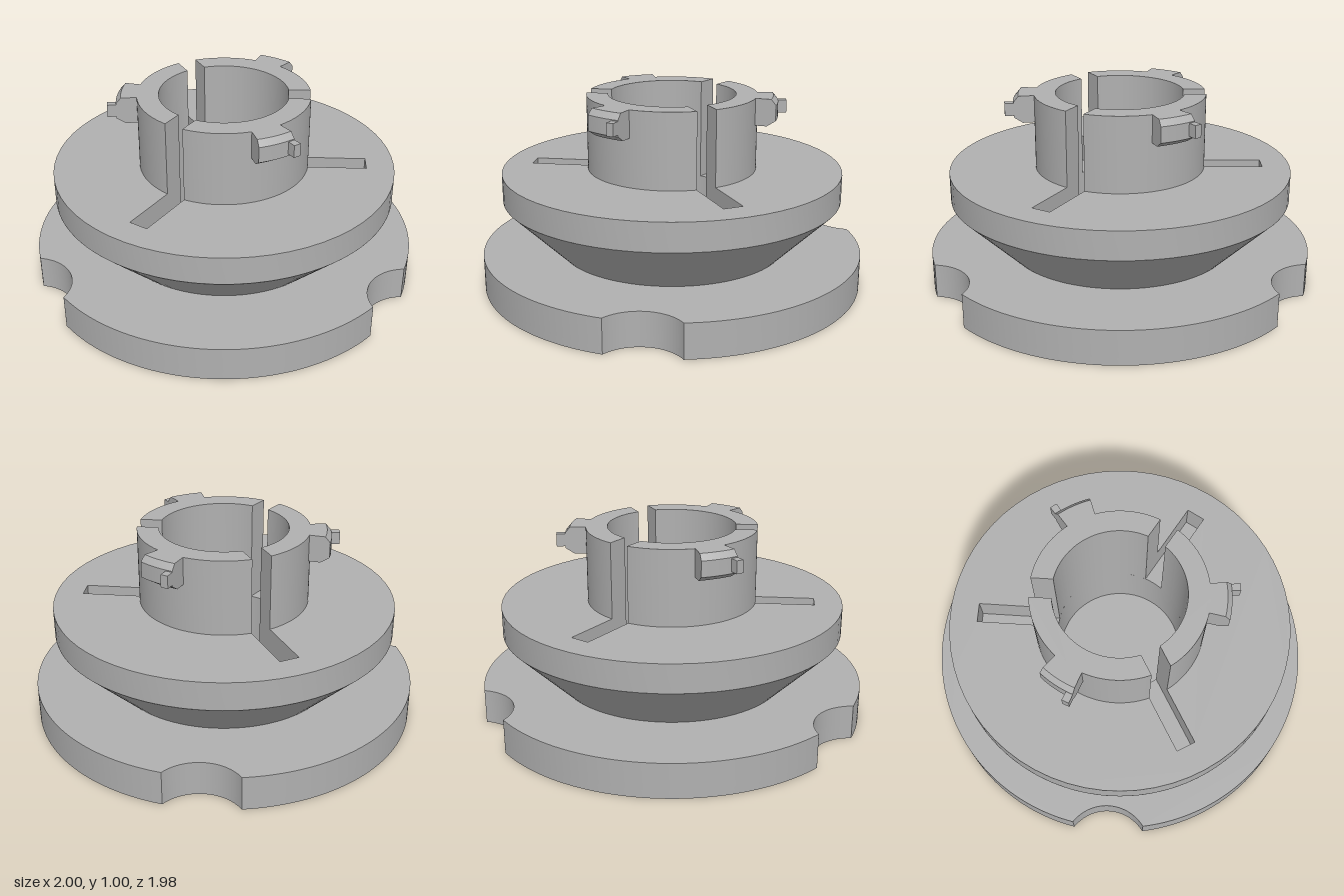
import * as THREE from 'three';
import { toCreasedNormals } from 'three/addons/utils/BufferGeometryUtils.js';

const rad = THREE.MathUtils.degToRad;
const BORE = 0.33, TUBE = 0.44, RIM = 0.885, SLOT = 0.05, SLOT_END = 0.74;

// Upright slab from a plan outline (shape x, y become world x, z)
function slab(shape, bottom, top) {
  const g = new THREE.ExtrudeGeometry(shape, { depth: top - bottom, bevelEnabled: false, curveSegments: 32 });
  g.rotateX(Math.PI / 2).translate(0, top, 0);
  return toCreasedNormals(g, 0.5);
}

// Sweep a convex counter-clockwise [radius, height] profile through an arc, with end caps
function sector(profile, a0, a1, steps) {
  const pos = [];
  const point = ([r, y], a) => [r * Math.cos(a), y, r * Math.sin(a)];
  const tri = (a, b, c) => pos.push(...a, ...b, ...c);
  const n = profile.length;
  for (let i = 0; i < steps; i++) {
    const s = a0 + (a1 - a0) * i / steps, e = a0 + (a1 - a0) * (i + 1) / steps;
    for (let j = 0; j < n; j++) {
      const p = profile[j], q = profile[(j + 1) % n];
      tri(point(p, s), point(q, s), point(q, e));
      tri(point(p, s), point(q, e), point(p, e));
    }
  }
  for (let j = 1; j < n - 1; j++) {
    tri(point(profile[0], a0), point(profile[j + 1], a0), point(profile[j], a0));
    tri(point(profile[0], a1), point(profile[j], a1), point(profile[j + 1], a1));
  }
  const g = new THREE.BufferGeometry();
  g.setAttribute('position', new THREE.Float32BufferAttribute(pos, 3));
  g.computeVertexNormals();
  return toCreasedNormals(g, 0.4);
}

// Round plate outline with three scooped notches
function baseShape() {
  const s = new THREE.Shape();
  const half = rad(10.65), beta = Math.atan2(0.185, 0.13);
  for (const deg of [-90, 30, 150]) {
    const a = rad(deg);
    s.absarc(0, 0, 1, a - rad(120) + half, a - half, false);
    s.absarc(1.113 * Math.cos(a), 1.113 * Math.sin(a), 0.226, a + Math.PI + beta, a + Math.PI - beta, true);
  }
  return s;
}

// Bore outline with three radial slots
function slottedHole() {
  const p = new THREE.Path();
  const d = Math.asin(SLOT / BORE);
  for (let i = 0; i < 3; i++) {
    const a = i * rad(120), c = Math.cos(a), s = Math.sin(a);
    for (const v of [-SLOT, SLOT]) {
      const x = SLOT_END * c - v * s, y = SLOT_END * s + v * c;
      if (i === 0 && v < 0) p.moveTo(x, y);
      else p.lineTo(x, y);
    }
    p.absarc(0, 0, BORE, a + d, a + rad(120) - d, false);
  }
  p.closePath();
  return p;
}

export function createModel() {
  const model = new THREE.Group();
  const body = new THREE.Group();
  body.name = 'body';
  body.position.z = -0.0085;
  model.add(body);

  const grey = new THREE.MeshStandardMaterial({ color: 0xb0b0b0 });
  grey.name = 'plain grey';
  const add = (name, geometry, parent = body) => {
    const m = new THREE.Mesh(geometry, grey);
    m.name = name;
    parent.add(m);
    return m;
  };

  // Base plate with a shallow round pocket underneath
  const pocketed = baseShape();
  const pocket = new THREE.Path();
  pocket.absarc(-0.73, 0, 0.072, 0, Math.PI * 2, true);
  pocketed.holes.push(pocket);
  add('basePlateLower', slab(pocketed, 0, 0.04));
  add('basePlateUpper', slab(baseShape(), 0.04, 0.18));

  // Flared cone with the bore down its middle
  const profile = [[0.6, 0.18], [RIM, 0.465], [BORE, 0.465], [BORE, 0.18]];
  const cone = new THREE.LatheGeometry(profile.map(([r, y]) => new THREE.Vector2(r, y)), 96);
  add('flaredCone', toCreasedNormals(cone, 0.5));

  // Flange with slots
  const flange = new THREE.Shape();
  flange.absarc(0, 0, RIM, 0, Math.PI * 2, false);
  flange.holes.push(slottedHole());
  add('slottedFlange', slab(flange, 0.465, 0.61));

  // Three collar walls, each with a bevelled lug and a small stop
  const lugProfile = [[0.42, 0.86], [0.5, 0.86], [0.545, 0.89], [0.545, 0.97], [0.52, 1.0], [0.42, 1.0]];
  const stopProfile = [[0.53, 0.9], [0.59, 0.9], [0.59, 0.965], [0.53, 0.965]];
  const dOut = Math.asin(SLOT / TUBE), dIn = Math.asin(SLOT / BORE);
  for (let i = 0; i < 3; i++) {
    const a = i * rad(120), b = a + rad(120), mid = a + rad(60);
    const collar = new THREE.Group();
    collar.name = 'collarSegment';
    body.add(collar);
    const wall = new THREE.Shape();
    wall.absarc(0, 0, TUBE, a + dOut, b - dOut, false);
    wall.absarc(0, 0, BORE, b - dIn, a + dIn, true);
    wall.closePath();
    add('collarWall', slab(wall, 0.61, 1.0), collar);
    add('lug', sector(lugProfile, mid - rad(10), mid + rad(10), 8), collar);
    add('lugStop', sector(stopProfile, mid - rad(10), mid - rad(6.3), 2), collar);
  }
  return model;
}
